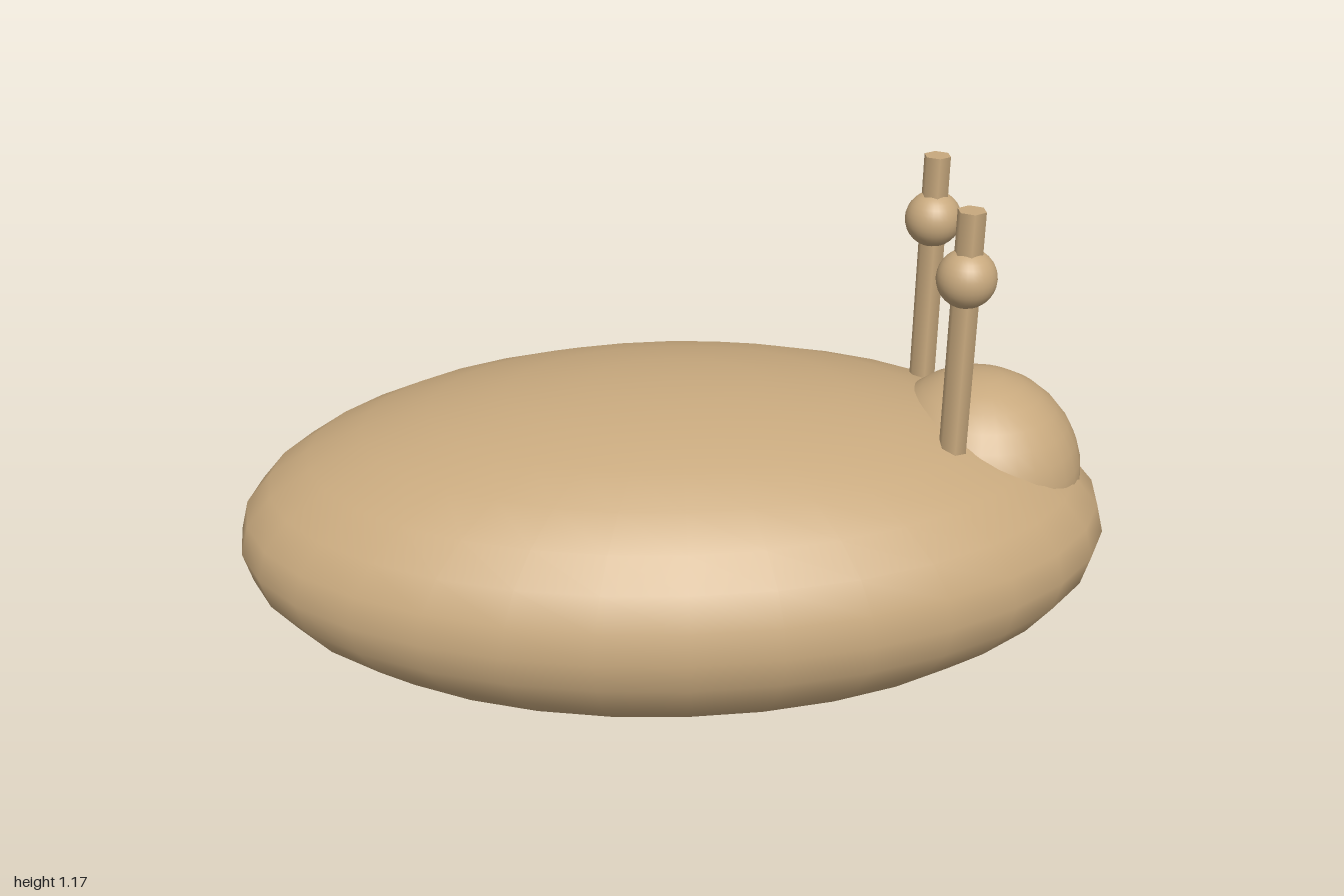
import * as THREE from 'three';

export function createModel() {
  const model = new THREE.Group();
  model.name = 'snailCreature';
  const skin = new THREE.MeshStandardMaterial({ color: 0xc8a97e });

  const add = (parent, name, geometry, x, y, z) => {
    const mesh = new THREE.Mesh(geometry, skin);
    mesh.name = name;
    mesh.position.set(x, y, z);
    parent.add(mesh);
    return mesh;
  };

  // Flattened oval body
  const bodyShape = new THREE.SphereGeometry(1, 32, 16).scale(1, 0.36, 0.61);
  add(model, 'body', bodyShape, 0, 0.362, 0);

  // Round head half sunk into the body at the +x end
  add(model, 'head', new THREE.SphereGeometry(0.241, 32, 16), 0.7, 0.474, 0);

  // Pair of six-sided stalks, each passing through an eyeball
  const bottom = 0.57, top = 1.17;
  const stalkShape = new THREE.CylinderGeometry(0.031, 0.031, top - bottom, 6);
  const eyeShape = new THREE.SphereGeometry(0.064, 32, 16);
  for (const side of [1, -1]) {
    const eyeStalk = new THREE.Group();
    eyeStalk.name = side > 0 ? 'frontEyeStalk' : 'backEyeStalk';
    eyeStalk.position.set(0.6, 0, side * 0.184);
    add(eyeStalk, 'stalk', stalkShape, 0, (top + bottom) / 2, 0);
    add(eyeStalk, 'eyeball', eyeShape, 0, 1.021, 0);
    model.add(eyeStalk);
  }

  return model;
}
